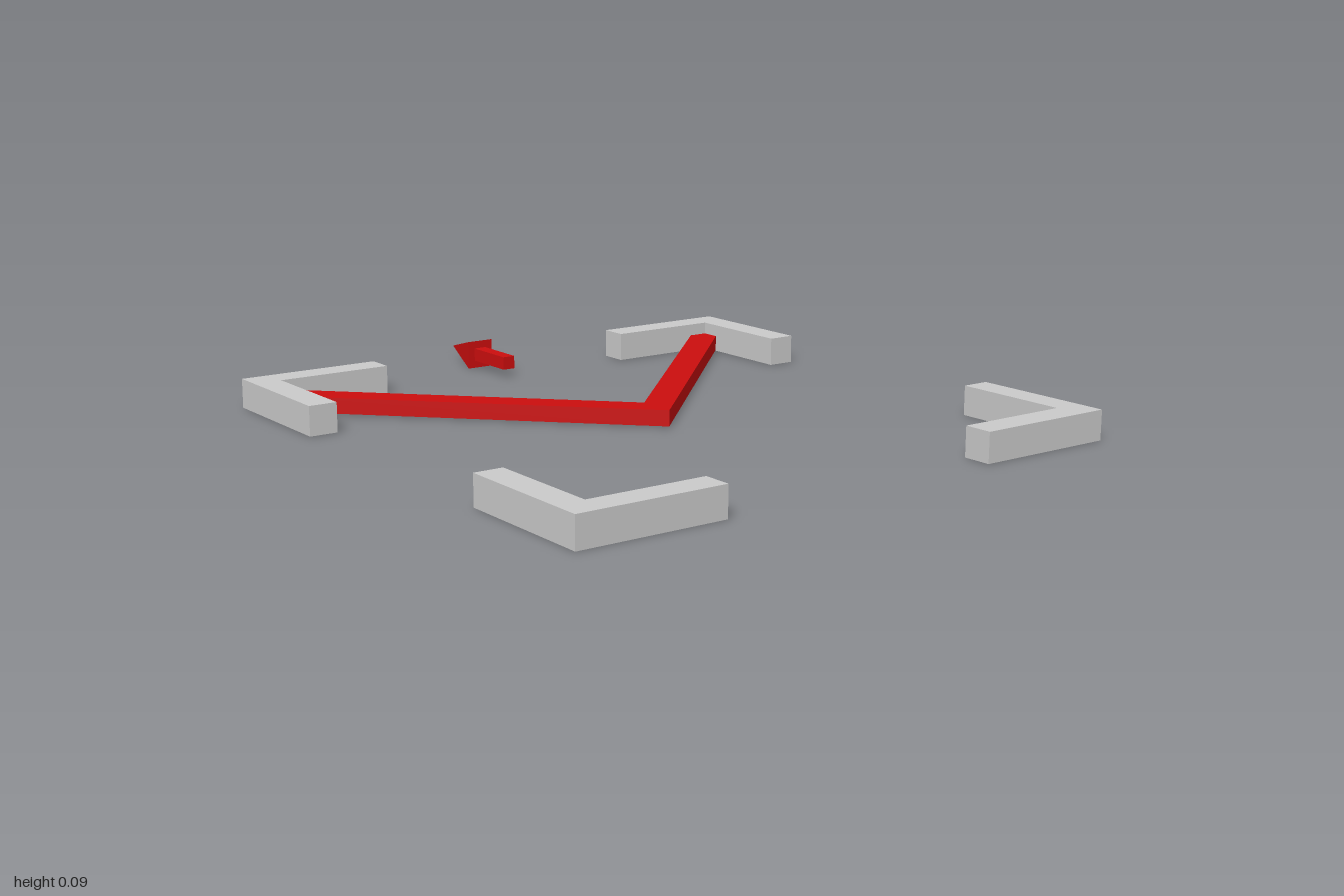
import * as THREE from 'three';

const HEIGHT = 0.087; // bracket height

// Extrudes an outline given as [x, z] points upwards from y0 to y1
function slab(points, y0, y1, material, name) {
  const shape = new THREE.Shape(points.map(([x, z]) => new THREE.Vector2(x, -z)));
  const geometry = new THREE.ExtrudeGeometry(shape, { depth: y1 - y0, bevelEnabled: false });
  geometry.rotateX(-Math.PI / 2).translate(0, y0, 0);
  const mesh = new THREE.Mesh(geometry, material);
  mesh.name = name;
  return mesh;
}

export function createModel() {
  const grey = new THREE.MeshStandardMaterial({ color: 0xcacaca });
  grey.name = 'light grey';
  const red = new THREE.MeshStandardMaterial({ color: 0xcc0e0e });
  red.name = 'red';

  const model = new THREE.Group();
  model.name = 'placementMarker';

  // Four L-shaped corner brackets
  const outer = 0.87, length = 0.435, width = 0.085;
  for (const sx of [-1, 1]) {
    for (const [corner, sz] of [[-0.74, -1], [1, 1]]) {
      const outline = [[0, 0], [length, 0], [length, width], [width, width], [width, length], [0, length]]
        .map(([a, b]) => [sx * (outer - a), corner - sz * b]);
      const name = (sz > 0 ? 'front' : 'back') + (sx > 0 ? 'Left' : 'Right') + 'Bracket';
      model.add(slab(outline, 0, HEIGHT, grey, name));
    }
  }

  // V-shaped pointer running from the back brackets to a mitred tip
  const tip = 0.13, half = 0.06, reach = 0.79;
  const right = [[reach + half / 2, tip - reach + half / 2], [reach - half / 2, tip - reach - half / 2]];
  const left = right.map(([x, z]) => [-x, z]).reverse();
  model.add(slab([[0, tip + half], ...right, [0, tip - half], ...left], 0.003, 0.05, red, 'vPointer'));

  // Direction arrow at the back: square shaft and pyramid head
  const arrow = new THREE.Group();
  arrow.name = 'directionArrow';
  const shaft = new THREE.Mesh(new THREE.BoxGeometry(0.04, 0.04, 0.175), red);
  shaft.name = 'arrowShaft';
  shaft.position.z = -0.7425;
  const headGeometry = new THREE.ConeGeometry(HEIGHT / Math.SQRT2, 0.17, 4).toNonIndexed();
  headGeometry.rotateY(Math.PI / 4).rotateX(-Math.PI / 2);
  headGeometry.computeVertexNormals();
  const head = new THREE.Mesh(headGeometry, red);
  head.name = 'arrowHead';
  head.position.z = -0.915;
  arrow.add(shaft, head);
  arrow.position.y = HEIGHT / 2;
  model.add(arrow);

  return model;
}
